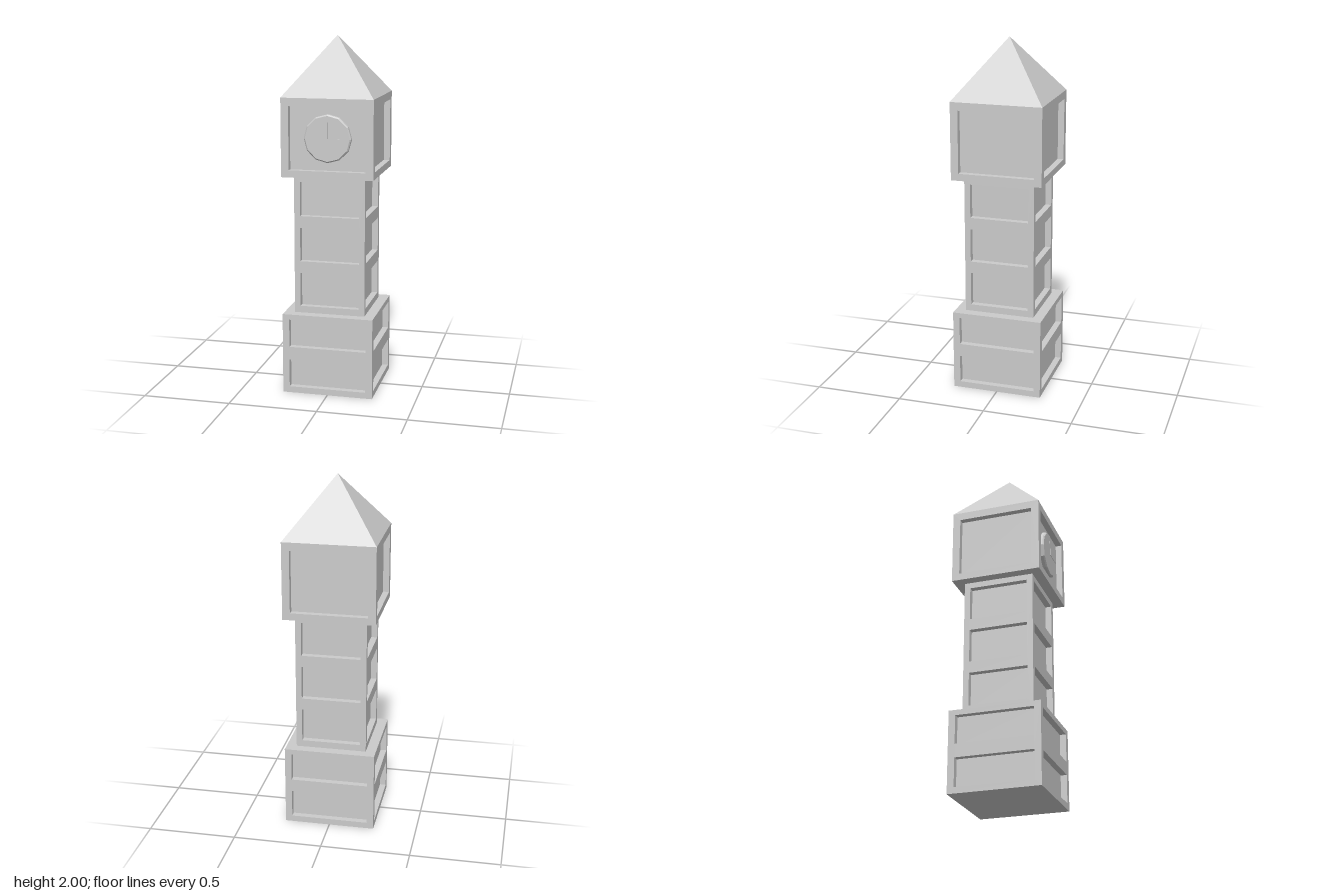
import * as THREE from 'three';
import { mergeGeometries } from 'three/addons/utils/BufferGeometryUtils.js';

const grey = new THREE.MeshStandardMaterial({ color: 0xcccccc, flatShading: true });
const RECESS = 0.035;

function rectPath(path, w, y0, y1) {
  path.moveTo(-w, y0);
  path.lineTo(w, y0);
  path.lineTo(w, y1);
  path.lineTo(-w, y1);
  path.closePath();
  return path;
}

// Flat rectangle, facing +z before it is turned and moved
function plane(w, h, rx, ry, x, y, z) {
  return new THREE.PlaneGeometry(w, h).rotateX(rx).rotateY(ry).translate(x, y, z);
}

// One wall facing +z at distance half, with sunken panels
function wall(half, y0, y1, panelHalf, panels) {
  const shape = rectPath(new THREE.Shape(), half, y0, y1);
  const parts = [];
  const q = Math.PI / 2;
  const zMid = half - RECESS / 2;
  for (const [a, b] of panels) {
    shape.holes.push(rectPath(new THREE.Path(), panelHalf, a, b));
    const w = panelHalf * 2, h = b - a, mid = (a + b) / 2;
    parts.push(
      plane(w, h, 0, 0, 0, mid, half - RECESS),       // panel floor
      plane(RECESS, h, 0, q, -panelHalf, mid, zMid),  // side reveals
      plane(RECESS, h, 0, -q, panelHalf, mid, zMid),
      plane(w, RECESS, -q, 0, 0, a, zMid),            // sill
      plane(w, RECESS, q, 0, 0, b, zMid)              // lintel
    );
  }
  parts.push(new THREE.ShapeGeometry(shape).translate(0, 0, half));
  return mergeGeometries(parts.map((g) => g.toNonIndexed()));
}

// Square storey: four identical walls plus a top and a bottom
function storey(name, half, y0, y1, panelHalf, panels) {
  const parts = [];
  for (let i = 0; i < 4; i++) {
    parts.push(wall(half, y0, y1, panelHalf, panels).rotateY(i * Math.PI / 2));
  }
  const q = Math.PI / 2;
  parts.push(plane(half * 2, half * 2, q, 0, 0, y0, 0).toNonIndexed());
  parts.push(plane(half * 2, half * 2, -q, 0, 0, y1, 0).toNonIndexed());
  const mesh = new THREE.Mesh(mergeGeometries(parts), grey);
  mesh.name = name;
  return mesh;
}

export function createModel() {
  const tower = new THREE.Group();
  tower.name = 'clockTower';

  tower.add(
    storey('base', 0.257, 0, 0.46, 0.219, [[0.035, 0.195], [0.27, 0.43]]),
    storey('shaft', 0.2, 0.46, 1.24, 0.167, [[0.498, 0.69], [0.757, 0.948], [1.015, 1.207]]),
    storey('clockRoom', 0.257, 1.24, 1.675, 0.214, [[1.28, 1.63]])
  );

  // Pyramid roof
  const roof = new THREE.Mesh(
    new THREE.ConeGeometry(0.257 * Math.SQRT2, 0.325, 4, 1, true).rotateY(Math.PI / 4),
    grey
  );
  roof.position.y = 1.675 + 0.325 / 2;
  roof.name = 'roof';
  tower.add(roof);

  // Clock: twelve-sided disc with a narrow bevel, and two thin hands
  const clock = new THREE.Group();
  clock.name = 'clock';
  clock.position.set(0, 1.457, 0.257 - RECESS);
  const disc = new THREE.Mesh(
    new THREE.LatheGeometry(
      [[0.132, 0], [0.132, 0.018], [0.125, 0.025], [0, 0.025]].map(([r, y]) => new THREE.Vector2(r, y)),
      12
    ).rotateX(Math.PI / 2),
    grey
  );
  disc.name = 'clockFace';
  clock.add(disc);
  for (const [name, length, angle] of [['minuteHand', 0.09, 0], ['hourHand', 0.11, -Math.PI / 2]]) {
    const hand = new THREE.Mesh(
      new THREE.BoxGeometry(0.003, length, 0.003).translate(0, length / 2, 0.026),
      grey
    );
    hand.rotation.z = angle;
    hand.name = name;
    clock.add(hand);
  }
  tower.add(clock);

  return tower;
}
